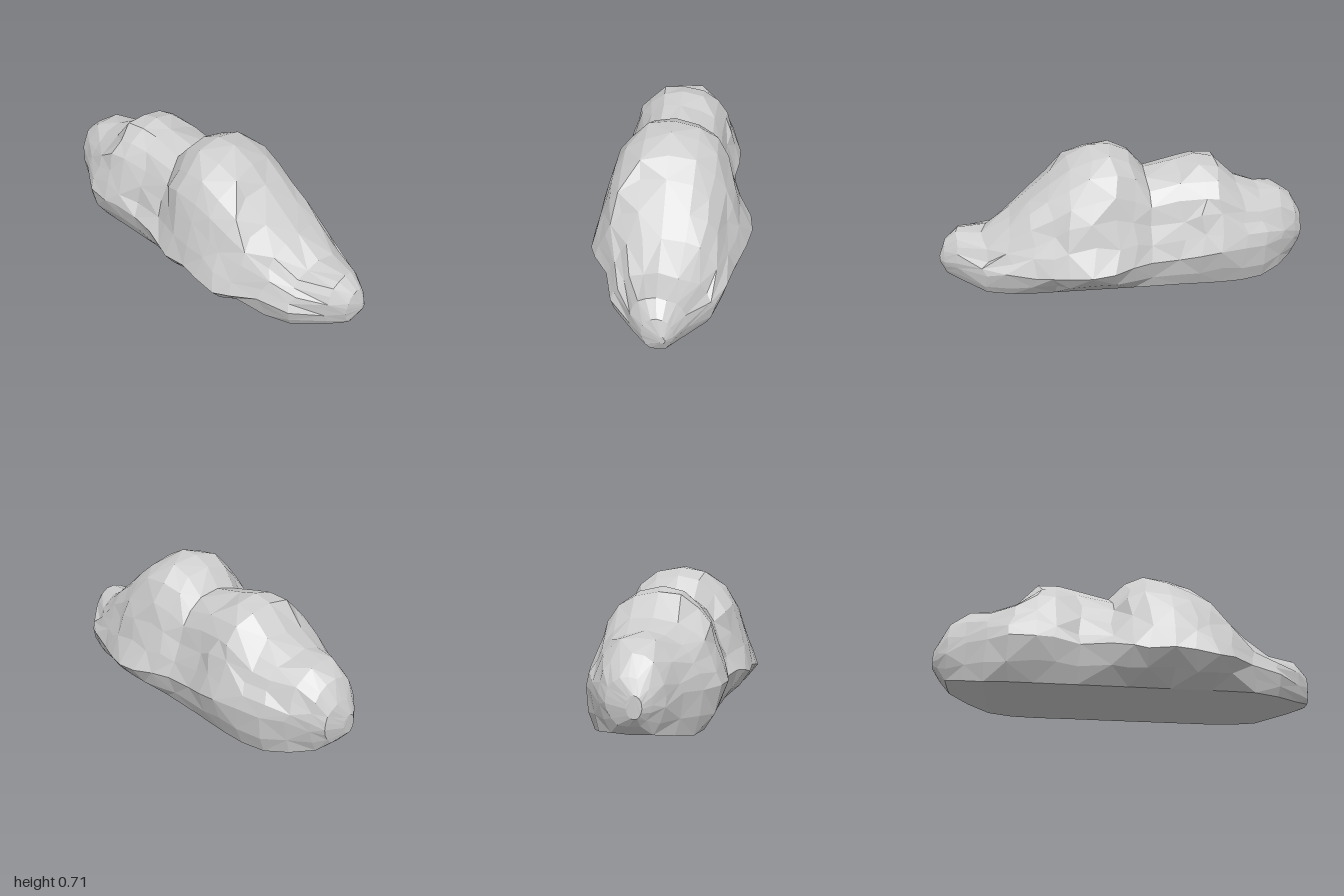
import * as THREE from 'three';

// stations along x: [x, top y, bottom y, back z, front z, y of the widest edge]
const STATIONS = [
  [-1.0, 0.24, 0.14, 0.0, 0.07, 0.19], [-0.97, 0.31, 0.1, -0.1, 0.11, 0.2], [-0.92, 0.4, 0.05, -0.15, 0.16, 0.22],
  [-0.83, 0.45, 0.03, -0.21, 0.21, 0.22], [-0.72, 0.47, 0.005, -0.265, 0.275, 0.22], [-0.6, 0.51, 0, -0.3, 0.34, 0.21],
  [-0.48, 0.62, 0, -0.325, 0.355, 0.22], [-0.38, 0.64, 0, -0.325, 0.345, 0.2], [-0.27, 0.61, 0, -0.305, 0.325, 0.18],
  [-0.1, 0.575, 0, -0.315, 0.355, 0.18], [-0.02, 0.67, 0, -0.355, 0.385, 0.17], [0.08, 0.71, 0, -0.4, 0.4, 0.16],
  [0.19, 0.71, 0, -0.415, 0.405, 0.16], [0.31, 0.65, 0, -0.385, 0.415, 0.15], [0.4, 0.57, 0, -0.36, 0.415, 0.14],
  [0.5, 0.485, 0, -0.33, 0.38, 0.13], [0.62, 0.385, 0, -0.295, 0.3, 0.13], [0.75, 0.29, 0, -0.25, 0.25, 0.1],
  [0.9, 0.28, 0.015, -0.135, 0.145, 0.11], [0.97, 0.22, 0.03, -0.075, 0.075, 0.12], [1.0, 0.14, 0.1, -0.04, -0.01, 0.12],
];

// half section, crown to widest edge: [share of half width, share of the height above the edge]
const DOME = [[0, 1], [0.34, 0.945], [0.58, 0.81], [0.73, 0.63], [0.82, 0.43], [0.92, 0.21], [1, 0]];
// undercut, widest edge to base: [share of the way in to the base rim, share of the height below the edge]
const UNDERCUT = [[0.42, 0.45], [1, 0]];

function seeded(seed) {
  return () => {
    seed = (seed * 16807) % 2147483647;
    return seed / 2147483647 - 0.5;
  };
}

const { lerp, smoothstep } = THREE.MathUtils;
const bump = (x, center, width) => Math.exp(-(((x - center) / width) ** 2));

function createBody() {
  const random = seeded(77);
  const edge = DOME.length - 1;
  const half = edge + UNDERCUT.length + 1;
  const sides = half * 2;
  const points = [];
  const faces = [];

  STATIONS.forEach(([x, top, bottom, back, front, widest], i) => {
    const tip = smoothstep(Math.abs(x), 0.78, 1.06); // ends become rounder
    const mid = (back + front) / 2;
    const crown = lerp(0.02, mid, tip);
    for (let j = 0; j < sides; j++) {
      const k = j <= half ? j : sides - j;
      const isFront = j <= half;
      const side = isFront ? front : back;
      const angle = (k / half) * Math.PI;
      let y = bottom;
      let z = mid;
      if (k <= edge) {
        // hollow between the two lobes in front, step above the skirt behind
        const depth = isFront ? 0.15 * bump(x, -0.14, 0.12) : 0.085 * bump(x, 0.14, 0.22);
        const [share, level] = DOME[k];
        y = lerp(widest, top, level);
        z = k < edge ? lerp(crown, side, share * (1 - depth)) : side;
      } else if (k < half) {
        const [share, level] = UNDERCUT[k - edge - 1];
        const rim = THREE.MathUtils.clamp(lerp(mid, side, 0.85), -0.26, 0.26);
        y = lerp(bottom, widest, level);
        z = lerp(side, rim, share);
      }
      const roundY = bottom + ((top - bottom) * (1 + Math.cos(angle))) / 2;
      const roundZ = lerp(mid, side, Math.sin(angle));
      const rough = k > 0 && k < half - 1 ? 1 - Math.sqrt(tip) : 0; // uneven facets
      const sideways = k === edge ? 0.006 : 0.016;
      points.push(
        x + random() * 0.04 * rough,
        lerp(y, roundY, tip) + random() * 0.03 * rough,
        lerp(z, roundZ, tip) + random() * sideways * rough
      );
    }
  });

  // skin between neighbouring sections, with alternating diagonals
  for (let i = 0; i < STATIONS.length - 1; i++) {
    for (let j = 0; j < sides; j++) {
      const a = i * sides + j;
      const b = i * sides + ((j + 1) % sides);
      const c = a + sides;
      const d = b + sides;
      if ((i + j) % 2) faces.push(a, b, c, b, d, c);
      else faces.push(a, b, d, a, d, c);
    }
  }

  // end caps
  const last = (STATIONS.length - 1) * sides;
  for (let j = 1; j < sides - 1; j++) {
    faces.push(0, j + 1, j, last, last + j, last + j + 1);
  }

  const geometry = new THREE.BufferGeometry();
  geometry.setAttribute('position', new THREE.Float32BufferAttribute(points, 3));
  geometry.setIndex(faces);
  geometry.computeVertexNormals();
  return geometry;
}

export function createModel() {
  const group = new THREE.Group();
  group.name = 'cloud';
  const material = new THREE.MeshStandardMaterial({ color: 0xcccccc, flatShading: true });
  const body = new THREE.Mesh(createBody(), material);
  body.name = 'cloudBody';
  group.add(body);
  return group;
}
